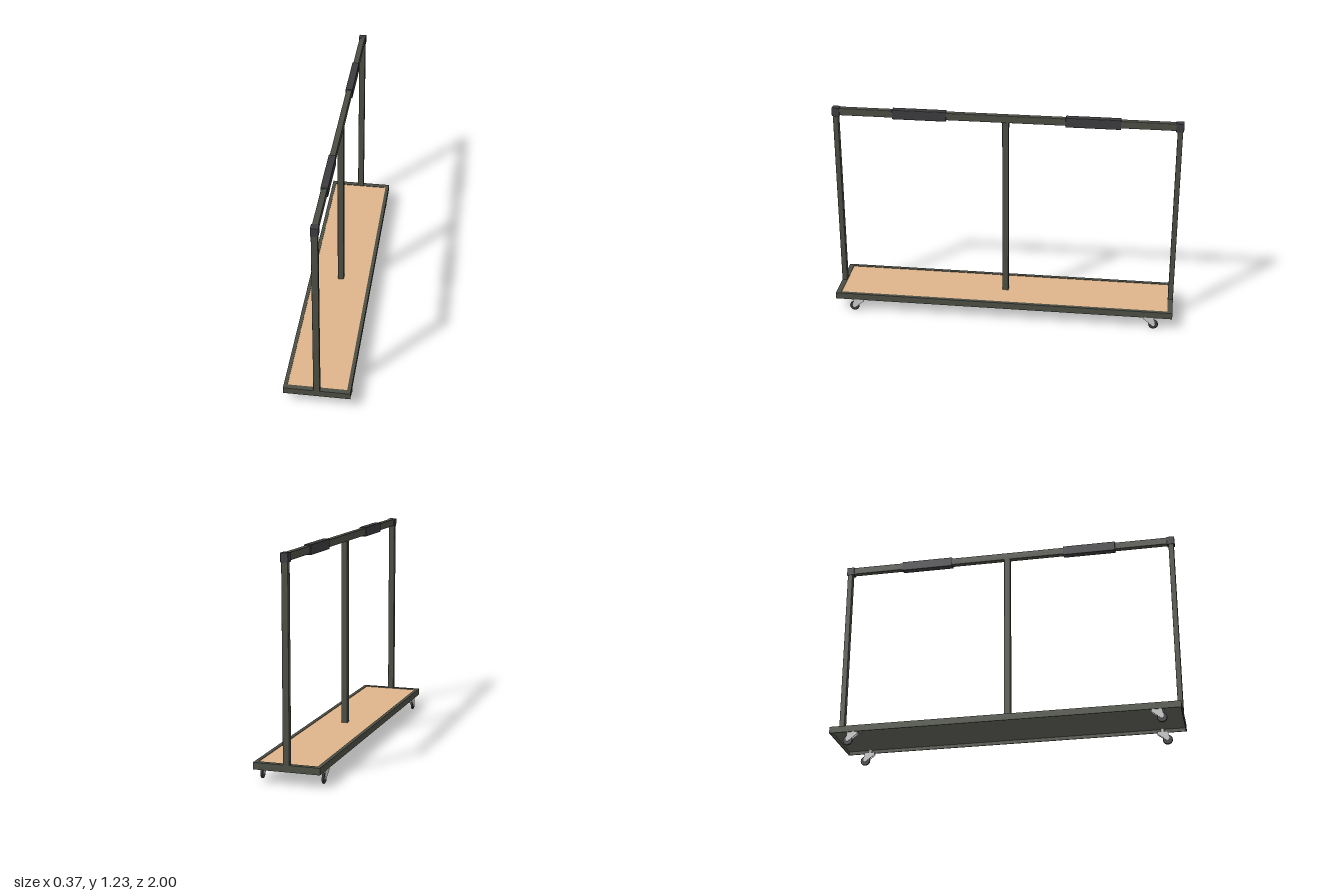
import * as THREE from 'three';
import { RoundedBoxGeometry } from 'three/addons/geometries/RoundedBoxGeometry.js';

const mat = (color) => new THREE.MeshStandardMaterial({ color });

export function createModel() {
  const root = new THREE.Group();
  root.name = 'rollingRack';
  const frame = mat(0x4c4f45), rubber = mat(0x3c3c40), wood = mat(0xdeb48a);
  const under = mat(0x62625b), steel = mat(0xcccccc);

  const add = (parent, name, geometry, material, x, y, z) => {
    const m = new THREE.Mesh(geometry, material);
    m.name = name;
    m.position.set(x, y, z);
    parent.add(m);
    return m;
  };
  // Box given by its min and max height, centred on x and z
  const box = (name, w, y0, y1, d, material, x = 0, z = 0) =>
    add(root, name, new THREE.BoxGeometry(w, y1 - y0, d), material, x, (y0 + y1) / 2, z);
  // Tube with slightly eased edges
  const tube = (name, w, y0, y1, d, material, z = 0) =>
    add(root, name, new RoundedBoxGeometry(w, y1 - y0, d, 2, 0.002), material, 0, (y0 + y1) / 2, z);

  // Base frame: angle profile with a top flange and a thin outer wall
  const HX = 0.186, HZ = 0.995, Y0 = 0.075, Y1 = 0.113, T = 0.005;
  for (const s of [-1, 1]) {
    box('sideWall', T, Y0, Y1, 2 * HZ, frame, s * (HX - T / 2));
    box('endWall', 2 * (HX - T), Y0, Y1, T, frame, 0, s * (HZ - T / 2));
    box('sideFlange', 0.016, 0.1, Y1, 2 * (HZ - T), frame, s * (HX - T - 0.008));
    box('endFlange', 2 * (HX - 0.021), 0.1, Y1, 0.025, frame, 0, s * (HZ - T - 0.0125));
  }

  // Deck board and its underside
  box('deck', 2 * (HX - 0.021), 0.1, 0.11, 2 * (HZ - 0.03), wood);
  box('deckUnderside', 2 * (HX - T), 0.095, 0.1, 2 * (HZ - T), under);

  // Uprights and top rail
  tube('middlePost', 0.036, 0.108, 1.182, 0.036, frame);
  tube('topRail', 0.032, 1.18, 1.222, 1.97, frame);
  for (const s of [-1, 1]) {
    tube('endPost', 0.036, 0.111, 1.182, 0.03, frame, s * 0.98);
    tube('cornerCap', 0.042, 1.174, 1.224, 0.044, rubber, s * 0.978);
    tube('gripSleeve', 0.04, 1.172, 1.228, 0.31, rubber, s * 0.495);
  }

  // Casters: cheek outline is drawn with +x pointing outward along the deck
  const cheek = new THREE.Shape();
  cheek.moveTo(-0.03, 0.076);
  cheek.lineTo(0.03, 0.076);
  cheek.lineTo(0.037, 0.032);
  cheek.quadraticCurveTo(0.03, 0.019, 0.02, 0.024);
  cheek.lineTo(-0.03, 0.062);
  cheek.closePath();
  const cheekGeo = new THREE.ExtrudeGeometry(cheek, { depth: 0.002, bevelEnabled: false });
  cheekGeo.translate(0, 0, -0.001).rotateY(-Math.PI / 2);

  const wheelProfile = [[0.008, -0.005], [0.024, -0.006], [0.028, -0.004], [0.028, 0.004], [0.024, 0.006], [0.008, 0.005]]
    .map(([r, y]) => new THREE.Vector2(r, y));
  const wheelGeo = new THREE.LatheGeometry(wheelProfile, 28).rotateZ(Math.PI / 2);
  const axleGeo = new THREE.CylinderGeometry(0.008, 0.008, 0.021, 16).rotateZ(Math.PI / 2);

  for (const sx of [-1, 1]) for (const sz of [-1, 1]) {
    const caster = new THREE.Group();
    caster.name = 'caster';
    caster.position.set(sx * 0.172, 0, sz * 0.86);
    if (sz < 0) caster.rotation.y = Math.PI;
    for (const s of [-1, 1]) add(caster, 'forkCheek', cheekGeo, steel, s * 0.009, 0, 0);
    add(caster, 'forkCrown', new THREE.BoxGeometry(0.02, 0.004, 0.06), steel, 0, 0.074, 0);
    add(caster, 'swivel', new THREE.CylinderGeometry(0.009, 0.009, 0.022, 20), steel, 0, 0.086, 0);
    add(caster, 'wheel', wheelGeo, rubber, 0, 0.028, 0.027);
    add(caster, 'axle', axleGeo, steel, 0, 0.028, 0.027);
    root.add(caster);
  }
  return root;
}
